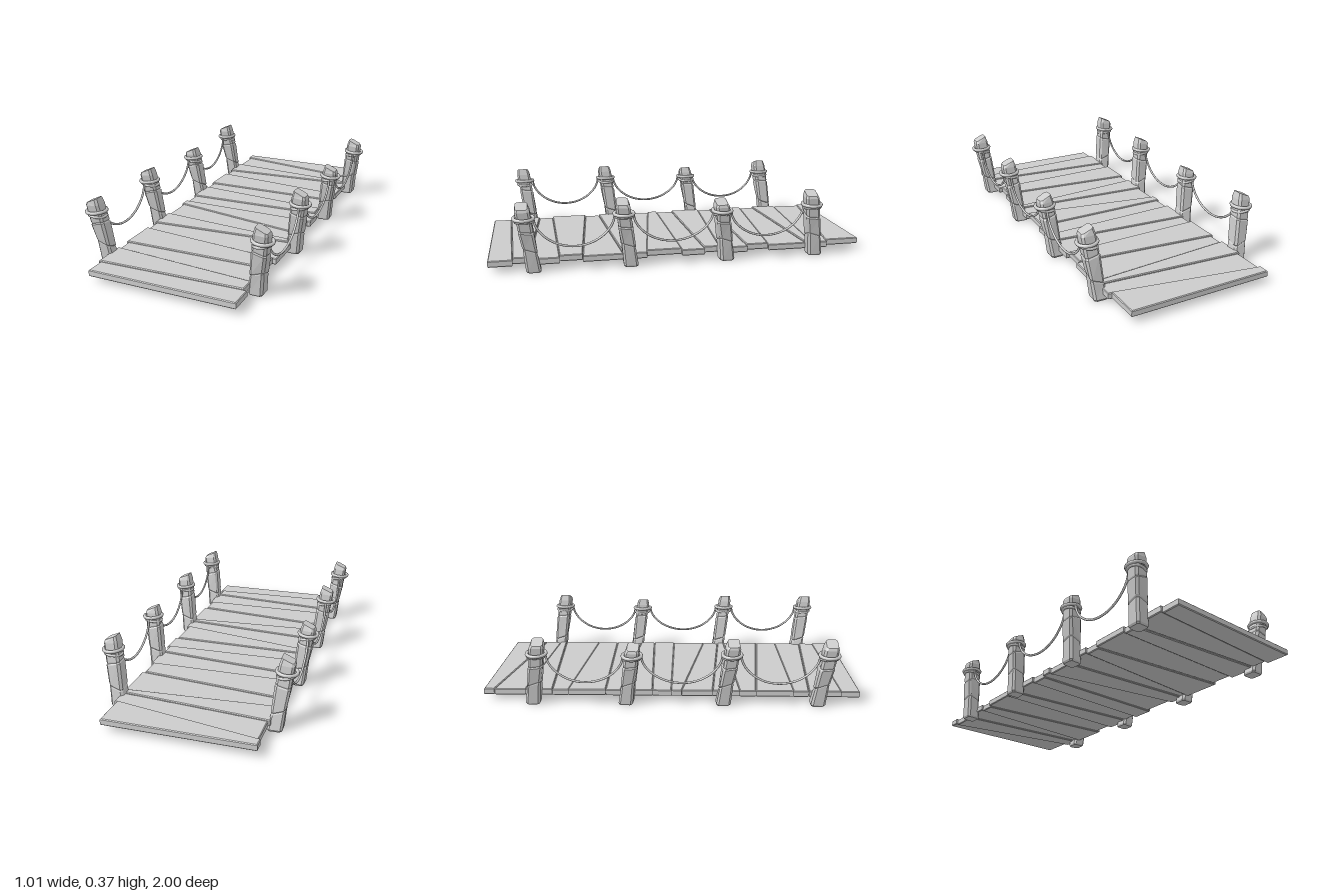
import * as THREE from 'three';

const flat = new THREE.MeshStandardMaterial({ color: 0xcccccc, flatShading: true });
const smooth = new THREE.MeshStandardMaterial({ color: 0xcccccc });

function add(parent, name, geometry, material) {
  const mesh = new THREE.Mesh(geometry, material);
  mesh.name = name;
  parent.add(mesh);
  return mesh;
}

// Seams between planks over one unit of deck: [z at the left end, z at the right end]
const SEAMS = [[0, 0], [0.055, 0.187], [0.22, 0.277], [0.365, 0.313], [0.45, 0.522],
  [0.65, 0.64], [0.73, 0.793], [0.9, 0.876], [1, 1]];

// One tapered plank with softly bevelled edges
function plankGeometry(a, b, x0, x1) {
  const e = 0.004;
  const shape = new THREE.Shape([
    new THREE.Vector2(x0 + e, a[0] + e), new THREE.Vector2(x1 - e, a[1] + e),
    new THREE.Vector2(x1 - e, b[1] - e), new THREE.Vector2(x0 + e, b[0] - e),
  ]);
  const geo = new THREE.ExtrudeGeometry(shape, {
    depth: 0.026, bevelEnabled: true, bevelSize: e, bevelThickness: e, bevelSegments: 1,
  });
  return geo.rotateX(Math.PI / 2);
}

// Post rows: [height, half width, slope of the row across x, slope across z]
const POST = [
  [0.003, 0.033, 0, 0], [0.012, 0.038, 0, 0],
  [0.106, 0.036, 0.35, 0.35], [0.112, 0.0335, 0.35, 0.35], [0.118, 0.0375, 0.35, 0.35],
  [0.226, 0.0385, -0.25, 0.1], [0.233, 0.0345, -0.25, 0.1], [0.240, 0.037, -0.25, 0.1],
  [0.333, 0.037, -0.1, 0], [0.356, 0.030, -0.45, 0],
];
const leanX = (y) => 0.405 + 0.128 * y;
const leanZ = (y) => 0.135 * y;

// Leaning post lofted from chamfered squares, with two grooves and a slanted top
function postGeometry(side, drop, yaw) {
  const pos = [], idx = [], n = 8;
  const corner = [[1, -0.7], [1, 0.7], [0.7, 1], [-0.7, 1], [-1, 0.7], [-1, -0.7], [-0.7, -1], [0.7, -1]];
  const face = (a, b, c) => (side > 0 ? idx.push(a, b, c) : idx.push(a, c, b));
  POST.forEach(([h, r, sx, sz], row) => {
    const y = h - (row > 7 ? drop : 0);
    for (const [u, v] of corner) {
      const dx = r * (u * Math.cos(yaw) - v * Math.sin(yaw));
      const dz = r * (u * Math.sin(yaw) + v * Math.cos(yaw));
      pos.push(side * (leanX(y) + dx), y + sx * dx + sz * dz, leanZ(y) + dz);
    }
    if (row === 0) return;
    for (let i = 0; i < n; i++) {
      const a = (row - 1) * n + i, b = (row - 1) * n + (i + 1) % n;
      face(a, a + n, b);
      face(b, a + n, b + n);
    }
  });
  const top = (POST.length - 1) * n;
  for (let i = 1; i < n - 1; i++) {
    face(0, i, i + 1);
    face(top, top + i + 1, top + i);
  }
  const geo = new THREE.BufferGeometry();
  geo.setAttribute('position', new THREE.Float32BufferAttribute(pos, 3));
  geo.setIndex(idx);
  const out = geo.toNonIndexed();
  out.computeVertexNormals();
  return out;
}

// Sagging rope between two posts
function ropeGeometry(x, z0, z1, y0, y1) {
  const low = 0.138, pts = [];
  for (let i = 0; i <= 12; i++) {
    const a = (i / 12) * Math.PI, t = (1 - Math.cos(a)) / 2;
    const drop = Math.pow(Math.sin(a), 1.15);
    const end = y0 + (y1 - y0) * t;
    pts.push(new THREE.Vector3(x, end + (low - end) * drop, z0 + (z1 - z0) * t));
  }
  return new THREE.TubeGeometry(new THREE.CatmullRomCurve3(pts), 40, 0.006, 8, false);
}

export function createModel() {
  const model = new THREE.Group();

  // Deck: the same run of planks laid twice, ends and heights alternating
  const deck = new THREE.Group();
  deck.name = 'deck';
  model.add(deck);
  for (const z of [-1, 0]) {
    for (let i = 0; i < SEAMS.length - 1; i++) {
      const odd = i % 2;
      const geo = plankGeometry(SEAMS[i], SEAMS[i + 1], odd ? -0.38 : -0.39, odd ? 0.4 : 0.382);
      add(deck, 'plank', geo, flat).position.set(0, odd ? 0.062 : 0.067, z);
    }
  }

  // Posts, lashings and ropes on both sides
  const posts = [
    { z: 0.77, drop: 0, yaw: 0 }, { z: 0.273, drop: 0, yaw: 0.06 },
    { z: -0.239, drop: 0.025, yaw: -0.06 }, { z: -0.732, drop: 0, yaw: 0.04 },
  ];
  for (const side of [1, -1]) {
    const rail = new THREE.Group();
    rail.name = side > 0 ? 'leftRail' : 'rightRail';
    model.add(rail);
    posts.forEach(({ z, drop, yaw }, i) => {
      add(rail, 'post', postGeometry(side, drop, yaw), flat).position.z = z;

      // Two rope loops around the post
      for (const [h, r, tube, tilt] of [[0.294, 0.049, 0.009, 0.07], [0.275, 0.044, 0.007, -0.12]]) {
        const y = h - drop * 0.4;
        const ring = add(rail, 'lashing', new THREE.TorusGeometry(r, tube, 8, 28).rotateX(Math.PI / 2), smooth);
        ring.position.set(side * (leanX(y) + 0.004), y, z + leanZ(y));
        ring.rotation.z = side * -tilt;
      }

      // Hanging rope to the next post
      if (i < posts.length - 1) {
        const next = posts[i + 1];
        const geo = ropeGeometry(side * 0.453, z - 0.008, next.z + 0.087, 0.29 - drop * 0.4, 0.29 - next.drop * 0.4);
        add(rail, 'rope', geo, smooth);
      }
    });
  }
  return model;
}
